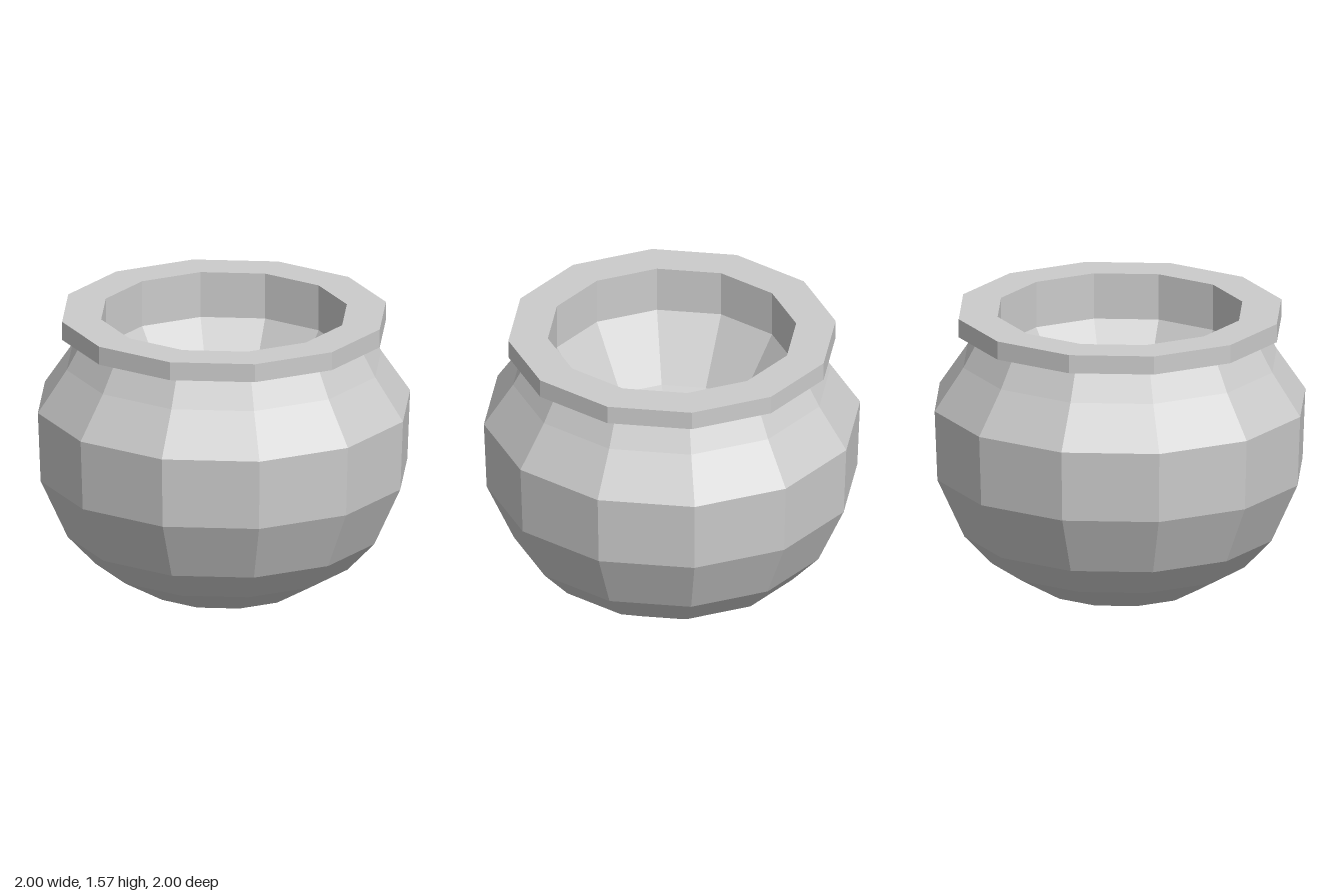
import * as THREE from 'three';

const SIDES = 12;
const material = new THREE.MeshStandardMaterial({ color: 0xcccccc, flatShading: true });

// Revolves a [radius, height] profile; the surface faces right of its travel
function turned(name, profile) {
  const points = profile.map(([r, y]) => new THREE.Vector2(r, y));
  const mesh = new THREE.Mesh(new THREE.LatheGeometry(points, SIDES), material);
  mesh.name = name;
  return mesh;
}

export function createModel() {
  const pot = new THREE.Group();
  pot.name = 'pot';

  // Outer belly, from the shallow pointed base up to the neck
  pot.add(turned('body', [
    [0, 0], [0.43, 0.06], [0.69, 0.21], [0.84, 0.37],
    [0.985, 0.69], [1, 1.07], [0.845, 1.3], [0.755, 1.465],
  ]));

  // Flat overhanging lip: underside, edge and top
  pot.add(turned('rim', [
    [0.755, 1.465], [0.87, 1.47], [0.87, 1.57], [0.66, 1.57],
  ]));

  // Hollow: straight throat, sloping wall and dished floor
  pot.add(turned('interior', [
    [0.66, 1.57], [0.66, 1.32], [0.455, 0.98], [0, 0.82],
  ]));

  return pot;
}
